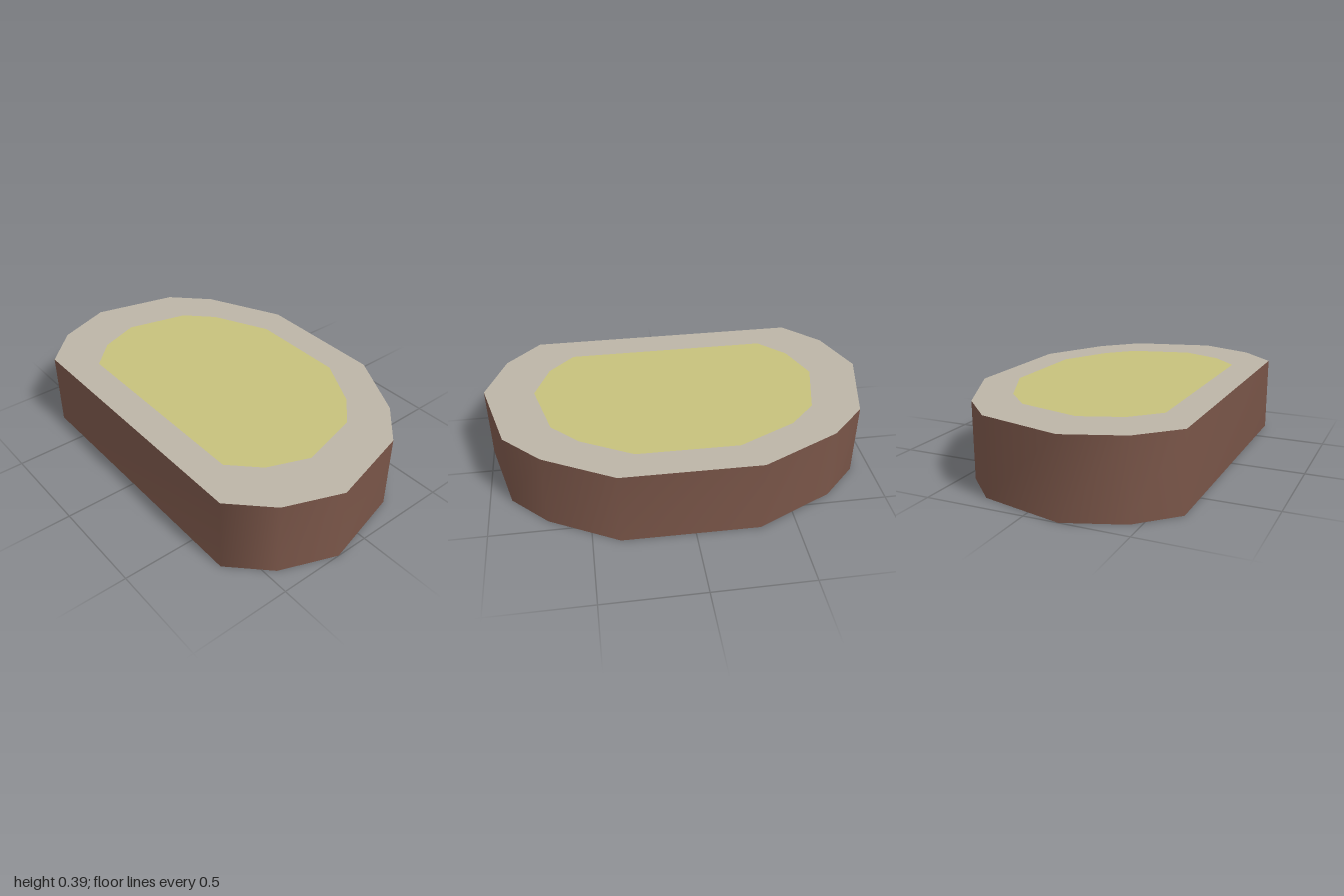
import * as THREE from 'three';

const HEIGHT = 0.39;
const INNER_SCALE = 0.74;

// Footprint as [x, z]: straight left edge, rounded right side
const outline = [
  [-0.63, -0.715], [-0.45, -0.895], [-0.17, -1], [0.255, -0.895], [0.435, -0.715], [0.625, -0.32],
  [0.62, 0.365], [0.435, 0.71], [0.255, 0.89], [-0.17, 1], [-0.45, 0.89], [-0.63, 0.71],
];

const makePoints = (scale, zSign) => outline.map(([x, z]) => new THREE.Vector2(x * scale, z * scale * zSign));

// Smooth wall swept straight up from the footprint
function wallGeometry() {
  const n = outline.length;
  const positions = [];
  const indices = [];
  for (const y of [0, HEIGHT]) {
    for (const [x, z] of outline) positions.push(x, y, z);
  }
  for (let i = 0; i < n; i++) {
    const j = (i + 1) % n;
    indices.push(j, i, i + n, j, i + n, j + n);
  }
  const geometry = new THREE.BufferGeometry();
  geometry.setAttribute('position', new THREE.Float32BufferAttribute(positions, 3));
  geometry.setIndex(indices);
  geometry.computeVertexNormals();
  return geometry;
}

// Flat horizontal face facing up
function topFace(shape) {
  return new THREE.ShapeGeometry(shape).rotateX(-Math.PI / 2).translate(0, HEIGHT, 0);
}

export function createModel() {
  const group = new THREE.Group();
  group.name = 'raisedBed';

  const material = (name, color) => new THREE.MeshStandardMaterial({ name, color });
  const brown = material('brown', 0x795548);
  const grey = material('warmGrey', 0xbbb4a6);
  const yellow = material('paleYellow', 0xc6c17c);

  const add = (name, geometry, mat) => {
    const mesh = new THREE.Mesh(geometry, mat);
    mesh.name = name;
    group.add(mesh);
  };

  add('sideWall', wallGeometry(), brown);

  // Border ring around the inset centre
  const border = new THREE.Shape(makePoints(1, -1));
  border.holes.push(new THREE.Path(makePoints(INNER_SCALE, -1)));
  add('topBorder', topFace(border), grey);
  add('topCentre', topFace(new THREE.Shape(makePoints(INNER_SCALE, -1))), yellow);

  // Underside
  add('underside', new THREE.ShapeGeometry(new THREE.Shape(makePoints(1, 1))).rotateX(Math.PI / 2), grey);

  return group;
}
